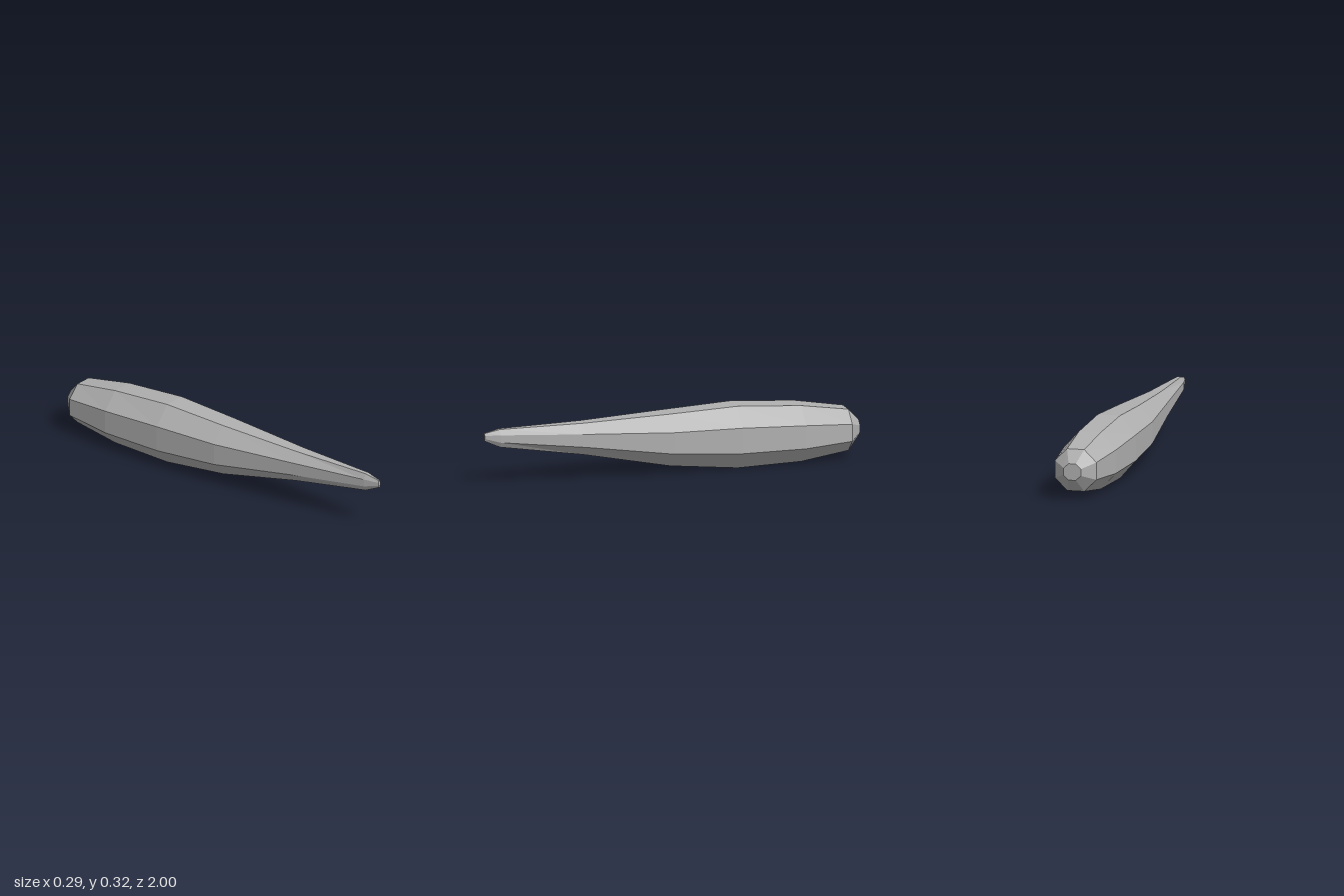
import * as THREE from 'three';

// Cross-sections from blunt rear to pointed front: z, bottom, top, half width
const SECTIONS = [
  [-1, 0.107, 0.192, 0.046],
  [-0.937, 0.04, 0.257, 0.11],
  [-0.68, 0.006, 0.3, 0.139],
  [-0.34, 0, 0.325, 0.143],
  [0.02, 0.038, 0.311, 0.125],
  [0.48, 0.13, 0.295, 0.072],
  [0.92, 0.2, 0.293, 0.025],
  [1, 0.237, 0.276, 0.008],
];
const SIDES = 8;

// Octagon with flat top, bottom and sides, counter-clockwise seen from the front
function ring([z, bottom, top, halfWidth]) {
  const scale = 1 / Math.cos(Math.PI / SIDES);
  return Array.from({ length: SIDES }, (_, i) => {
    const a = ((i + 0.5) / SIDES) * Math.PI * 2;
    return [
      Math.cos(a) * scale * halfWidth,
      (bottom + top) / 2 + (Math.sin(a) * scale * (top - bottom)) / 2,
      z,
    ];
  });
}

function loft(sections) {
  const rings = sections.map(ring);
  const positions = [];
  const tri = (a, b, c) => positions.push(...a, ...b, ...c);

  // Faceted skin between neighbouring sections
  for (let s = 0; s < rings.length - 1; s++) {
    const back = rings[s], front = rings[s + 1];
    for (let i = 0; i < SIDES; i++) {
      const j = (i + 1) % SIDES;
      tri(back[i], back[j], front[j]);
      tri(back[i], front[j], front[i]);
    }
  }

  // Flat end caps
  const rear = rings[0], tip = rings[rings.length - 1];
  for (let i = 1; i < SIDES - 1; i++) {
    tri(rear[0], rear[i + 1], rear[i]);
    tri(tip[0], tip[i], tip[i + 1]);
  }

  const geometry = new THREE.BufferGeometry();
  geometry.setAttribute('position', new THREE.Float32BufferAttribute(positions, 3));
  geometry.computeVertexNormals();
  return geometry;
}

export function createModel() {
  const group = new THREE.Group();
  group.name = 'taperedBody';

  const grey = new THREE.MeshStandardMaterial({ color: 0xb0b0b0, flatShading: true });
  grey.name = 'grey';

  // One tapering body with a chamfered rear end
  const body = new THREE.Mesh(loft(SECTIONS), grey);
  body.name = 'body';
  group.add(body);
  return group;
}
